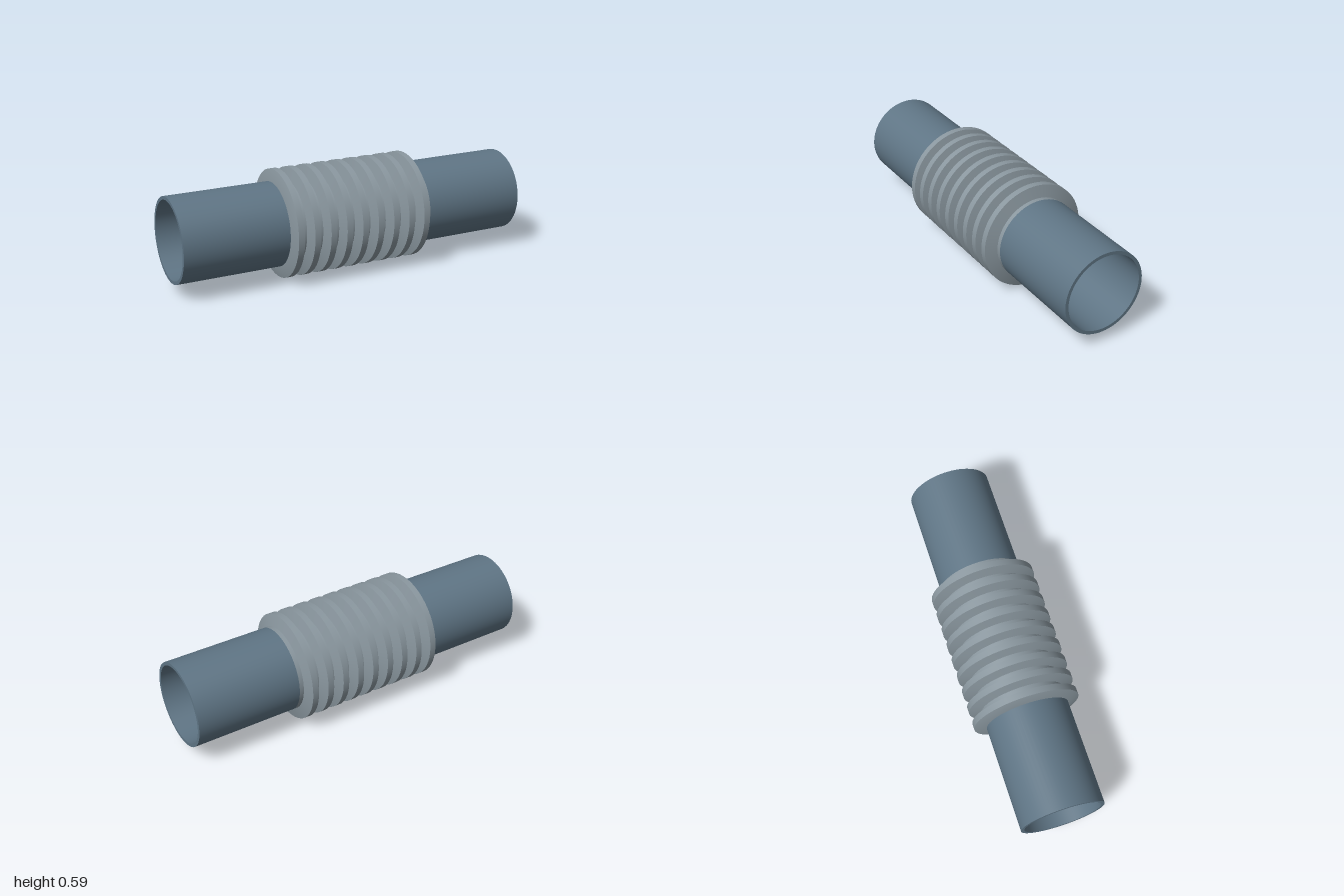
import * as THREE from 'three';
import { toCreasedNormals } from 'three/addons/utils/BufferGeometryUtils.js';

const CREST = 0.295, OUTER = 0.23, WALL = 0.018;
const HALF = 1, BELLOWS_HALF = 0.42, RIBS = 9, SEGMENTS = 64;

// Revolves an outer profile of [x, radius] points, closed by an inner skin one wall thickness below it
function revolve(name, profile, material) {
  const outer = profile.map(([x, r]) => new THREE.Vector2(r, x));
  const inner = profile.map(([x, r]) => new THREE.Vector2(r - WALL, x)).reverse();
  const lathe = new THREE.LatheGeometry([...outer, ...inner, outer[0].clone()], SEGMENTS);
  lathe.rotateZ(-Math.PI / 2);
  const mesh = new THREE.Mesh(toCreasedNormals(lathe, Math.PI / 8), material);
  mesh.name = name;
  mesh.position.y = CREST;
  return mesh;
}

export function createModel() {
  const group = new THREE.Group();
  group.name = 'bellowsPipe';
  const pipeMaterial = new THREE.MeshStandardMaterial({ color: 0x5f7585 });
  const bellowsMaterial = new THREE.MeshStandardMaterial({ color: 0x8a979f });

  // Plain pipe at each end
  group.add(revolve('rightPipe', [[-HALF, OUTER], [-BELLOWS_HALF, OUTER]], pipeMaterial));
  group.add(revolve('leftPipe', [[BELLOWS_HALF, OUTER], [HALF, OUTER]], pipeMaterial));

  // Bellows: each rib rises, runs flat, falls, then leaves a short valley
  const pitch = (2 * BELLOWS_HALF) / RIBS;
  const profile = [];
  for (let i = 0; i < RIBS; i++) {
    const x = -BELLOWS_HALF + i * pitch;
    profile.push(
      [x, OUTER],
      [x + 0.18 * pitch, CREST],
      [x + 0.55 * pitch, CREST],
      [x + 0.74 * pitch, OUTER]
    );
  }
  profile.push([BELLOWS_HALF, OUTER]);
  group.add(revolve('bellows', profile, bellowsMaterial));

  return group;
}
